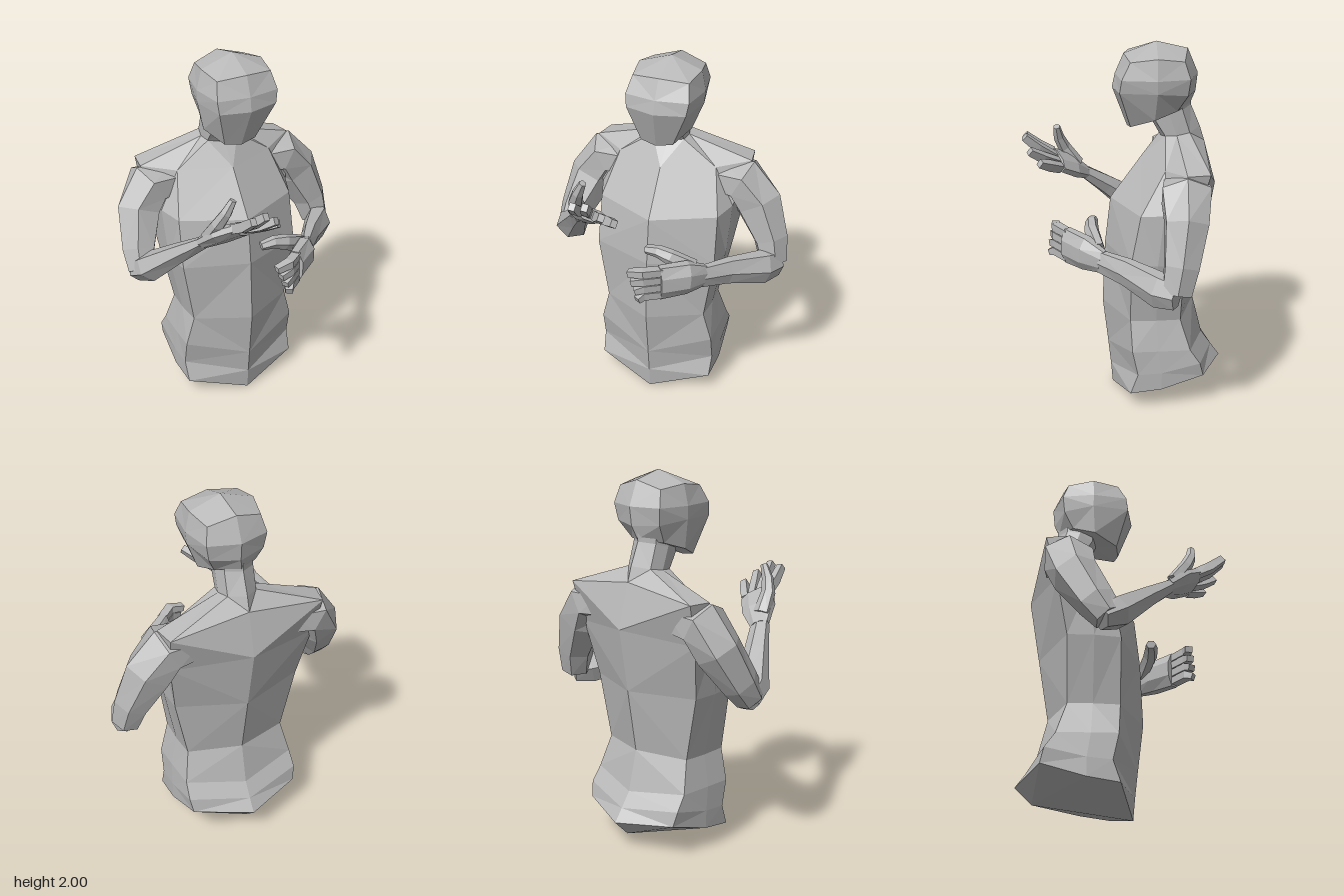
import * as THREE from 'three';

const V = (p) => new THREE.Vector3(...p);
const grey = new THREE.MeshStandardMaterial({ color: 0xb8b8b8, flatShading: true });
grey.name = 'plain grey';

// Skin a stack of equal-sized rings; both ends close on a centre point
function loft(name, rings, startTip, endTip) {
  const pos = [];
  const tri = (...pts) => pts.forEach((p) => pos.push(p.x, p.y, p.z));
  const n = rings[0].length;
  const middle = (r) => r.reduce((s, p) => s.add(p), new THREE.Vector3()).divideScalar(n);
  const first = rings[0], last = rings[rings.length - 1];
  const a = startTip || middle(first), b = endTip || middle(last);
  for (let i = 0; i < n; i++) {
    const j = (i + 1) % n;
    tri(a, first[j], first[i]);
    for (let k = 0; k + 1 < rings.length; k++) {
      const p = rings[k], q = rings[k + 1];
      // split along the shorter diagonal, which keeps both halves mirrored
      if (p[i].distanceTo(q[j]) < p[j].distanceTo(q[i])) {
        tri(p[i], p[j], q[j]);
        tri(p[i], q[j], q[i]);
      } else {
        tri(p[i], p[j], q[i]);
        tri(p[j], q[j], q[i]);
      }
    }
    tri(b, last[i], last[j]);
  }
  const g = new THREE.BufferGeometry();
  g.setAttribute('position', new THREE.Float32BufferAttribute(pos, 3));
  g.computeVertexNormals();
  const mesh = new THREE.Mesh(g, grey);
  mesh.name = name;
  return mesh;
}

// Mirrored ring: front centre, front corner, side, back corner, back centre
function bodyRing(cx, half) {
  const left = half.map(([x, y, z]) => V([cx + x, y, z]));
  const right = half.slice(1, -1).reverse().map(([x, y, z]) => V([cx - x, y, z]));
  return [...left, ...right];
}

// Limb through sections [x, y, z, half size along "across", half thickness]
function limb(name, sections, across, sides = 6) {
  const c = sections.map((s) => V(s.slice(0, 3)));
  const rings = sections.map((s, i) => {
    const t = c[Math.min(i + 1, c.length - 1)].clone().sub(c[Math.max(i - 1, 0)]).normalize();
    const u = V(across).addScaledVector(t, -V(across).dot(t)).normalize();
    const v = t.clone().cross(u);
    return Array.from({ length: sides }, (_, k) => {
      const a = ((k + 0.5) / sides) * Math.PI * 2;
      return c[i].clone().addScaledVector(u, Math.cos(a) * s[3]).addScaledVector(v, Math.sin(a) * s[4]);
    });
  });
  return loft(name, rings);
}

// Palm, thumb and four fingers; each finger is [base, middle, tip]
function hand(name, palm, thumb, fingers, across) {
  const g = new THREE.Group();
  g.name = name;
  g.add(limb('palm', palm, across, 8), limb('thumb', thumb, across, 6));
  fingers.forEach(([base, mid, tip], i) => g.add(limb('finger' + (i + 1),
    [[...base, 0.028, 0.034], [...mid, 0.03, 0.036], [...tip, 0.024, 0.028]], across, 4)));
  return g;
}

export function createModel() {
  const model = new THREE.Group();
  model.name = 'mannequinBust';

  // Torso from the hips up through the neck, which ends inside the head
  const torso = [
    [[0, 0, 0.06], [0.33, 0.095, -0.03], [0.335, 0.12, -0.2], [0.31, 0.19, -0.43], [0, 0.16, -0.55]],
    [[0, 0.12, 0.07], [0.335, 0.21, -0.07], [0.337, 0.22, -0.2], [0.325, 0.27, -0.41], [0, 0.23, -0.5]],
    [[0, 0.26, 0.085], [0.335, 0.35, -0.04], [0.33, 0.35, -0.18], [0.32, 0.35, -0.355], [0, 0.31, -0.445]],
    [[0, 0.52, 0.115], [0.29, 0.52, -0.03], [0.295, 0.52, -0.17], [0.285, 0.52, -0.3], [0, 0.53, -0.39]],
    [[0, 0.87, 0.1], [0.345, 0.87, -0.03], [0.365, 0.87, -0.17], [0.36, 0.87, -0.31], [0, 0.87, -0.445]],
    [[0, 1.13, 0.07], [0.34, 1.14, -0.08], [0.385, 1.16, -0.2], [0.41, 1.17, -0.37], [0, 1.21, -0.5]],
    [[0, 1.37, -0.1], [0.28, 1.37, -0.21], [0.45, 1.395, -0.31], [0.43, 1.395, -0.43], [0, 1.45, -0.435]],
    [[0, 1.48, -0.2], [0.09, 1.5, -0.22], [0.1, 1.505, -0.28], [0.08, 1.515, -0.35], [0, 1.53, -0.41]],
    [[0, 1.57, -0.15], [0.085, 1.58, -0.17], [0.1, 1.62, -0.24], [0.08, 1.64, -0.31], [0, 1.65, -0.36]],
    [[0, 1.66, -0.14], [0.085, 1.67, -0.17], [0.1, 1.71, -0.24], [0.08, 1.73, -0.31], [0, 1.74, -0.365]],
  ];
  model.add(loft('torso', torso.map((r) => bodyRing(-0.037, r)), V([-0.037, 0.07, -0.46])));

  // Head, leaning very slightly to one side
  const head = [
    [-0.03, [[0, 1.54, -0.02], [0.09, 1.555, -0.035], [0.15, 1.605, -0.16], [0.115, 1.645, -0.28], [0, 1.66, -0.355]]],
    [-0.013, [[0, 1.755, 0.06], [0.165, 1.76, 0.025], [0.195, 1.76, -0.17], [0.15, 1.74, -0.33], [0, 1.73, -0.38]]],
    [-0.01, [[0, 1.83, 0.045], [0.175, 1.83, 0.015], [0.2, 1.83, -0.17], [0.165, 1.83, -0.34], [0, 1.83, -0.39]]],
    [-0.007, [[0, 1.935, 0], [0.155, 1.92, -0.03], [0.175, 1.94, -0.17], [0.145, 1.92, -0.31], [0, 1.96, -0.335]]],
  ];
  model.add(loft('head', head.map(([cx, r]) => bodyRing(cx, r)), null, V([0, 2, -0.17])));

  // Left arm: elbow out, forearm level across the waist
  const up = [0, 1, 0];
  model.add(limb('leftUpperArm', [
    [0.22, 1.28, -0.31, 0.12, 0.1], [0.37, 1.28, -0.31, 0.145, 0.125], [0.46, 1.155, -0.305, 0.125, 0.14],
    [0.552, 0.96, -0.275, 0.1, 0.1], [0.58, 0.83, -0.25, 0.085, 0.08],
  ], [0, 0, 1]));
  model.add(limb('leftForearm', [
    [0.603, 0.825, -0.25, 0.08, 0.055], [0.55, 0.835, -0.165, 0.1, 0.075],
    [0.4, 0.875, 0, 0.08, 0.05], [0.295, 0.89, 0.13, 0.068, 0.035],
  ], up));
  model.add(hand('leftHand',
    [[0.3, 0.89, 0.12, 0.068, 0.035], [0.235, 0.915, 0.205, 0.098, 0.062], [0.118, 0.915, 0.305, 0.105, 0.05]],
    [[0.25, 0.94, 0.14, 0.05, 0.035], [0.13, 1.0, 0.175, 0.045, 0.04], [0.06, 1.02, 0.175, 0.035, 0.035],
      [-0.01, 1.01, 0.165, 0.024, 0.028]],
    [0, 1, 2, 3].map((i) => {
      const y = 0.985 - i * 0.046;
      return [[0.13, y, 0.3], [0.05, y + 0.01, 0.367], [-0.03 + i * 0.02, y - 0.005, 0.37 + i * 0.01]];
    }), up));

  // Right arm: forearm raised, open hand with the palm up
  const acrossPalm = [0.12, -0.06, -0.055];
  model.add(limb('rightUpperArm', [
    [-0.29, 1.28, -0.31, 0.12, 0.1], [-0.445, 1.28, -0.31, 0.145, 0.125], [-0.52, 1.15, -0.28, 0.125, 0.13],
    [-0.578, 0.97, -0.175, 0.105, 0.095], [-0.59, 0.88, -0.11, 0.085, 0.078],
  ], [0, 0, 1]));
  model.add(limb('rightForearm', [
    [-0.603, 0.865, -0.15, 0.065, 0.06], [-0.56, 0.92, -0.065, 0.095, 0.083],
    [-0.46, 1.06, 0.09, 0.07, 0.055], [-0.375, 1.17, 0.22, 0.055, 0.033],
  ], acrossPalm));
  model.add(hand('rightHand',
    [[-0.38, 1.165, 0.21, 0.055, 0.033], [-0.31, 1.23, 0.285, 0.1, 0.045], [-0.23, 1.285, 0.365, 0.098, 0.037]],
    [[-0.36, 1.22, 0.25, 0.05, 0.04], [-0.345, 1.32, 0.32, 0.04, 0.036], [-0.315, 1.39, 0.35, 0.032, 0.03],
      [-0.28, 1.46, 0.36, 0.02, 0.02]],
    [
      [[-0.29, 1.31, 0.385], [-0.275, 1.355, 0.46], [-0.26, 1.42, 0.535]],
      [[-0.25, 1.295, 0.37], [-0.215, 1.36, 0.46], [-0.19, 1.43, 0.535]],
      [[-0.21, 1.275, 0.355], [-0.16, 1.32, 0.435], [-0.115, 1.37, 0.505]],
      [[-0.175, 1.255, 0.34], [-0.12, 1.285, 0.395], [-0.07, 1.315, 0.45]],
    ], acrossPalm));
  return model;
}
